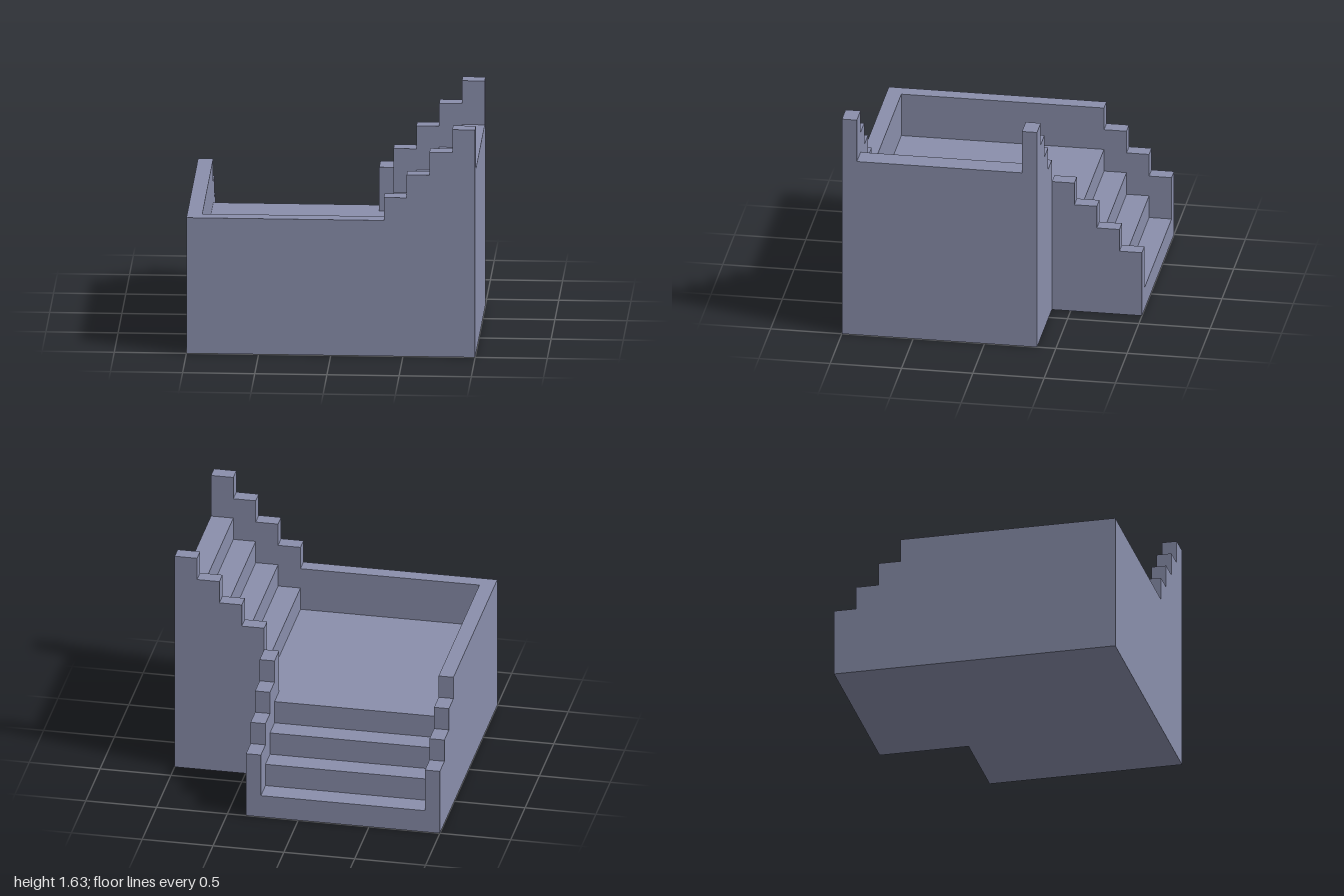
import * as THREE from 'three';

const RISE = 0.1648;          // height of one step
const RUN = 0.158;            // depth of one step
const RAIL = 0.315;           // parapet height above the treads
const WALL = 0.105;           // parapet thickness
const TURN = 0.368;           // where each flight meets the landing
const STEPS = 4;
const LANDING = STEPS * RISE;

// Closed outline of four rising steps, standing on the ground.
// flatBefore / flatAfter add a level stretch ending at that coordinate.
function stairShape(start, base, { flatBefore, flatAfter } = {}) {
  const pts = [];
  const first = flatBefore ?? start;
  pts.push([first, 0]);
  if (flatBefore !== undefined) pts.push([first, base], [start, base]);
  for (let i = 0; i < STEPS; i++) {
    const y = base + (i + 1) * RISE;
    pts.push([start + i * RUN, y], [start + (i + 1) * RUN, y]);
  }
  if (flatAfter !== undefined) pts[pts.length - 1][0] = flatAfter;
  pts.push([pts[pts.length - 1][0], 0]);
  return new THREE.Shape(pts.map(([x, y]) => new THREE.Vector2(x, y)));
}

export function createModel() {
  const group = new THREE.Group();
  const stone = new THREE.MeshStandardMaterial({ color: 0x8a8fac });
  stone.name = 'blue grey stone';

  const add = (name, geometry) => {
    const mesh = new THREE.Mesh(geometry, stone);
    mesh.name = name;
    group.add(mesh);
  };
  const extrude = (shape, depth) =>
    new THREE.ExtrudeGeometry(shape, { depth, bevelEnabled: false });
  // Outline runs along x, thickness spans z0..z1
  const alongX = (name, shape, z0, z1) =>
    add(name, extrude(shape, z1 - z0).translate(0, 0, z0));
  // Outline runs along z, thickness spans x0..x1
  const alongZ = (name, shape, x0, x1) =>
    add(name, extrude(shape, x1 - x0).rotateY(-Math.PI / 2).translate(x1, 0, 0));

  const inner = 1 - WALL;

  // Lower flight climbs from the back towards the landing
  alongZ('lowerSteps', stairShape(-1, 0), -inner, TURN - WALL);
  alongZ('lowerInnerParapet', stairShape(-1, RAIL), TURN - WALL, TURN);
  alongZ('sideParapet', stairShape(-1, RAIL, { flatAfter: inner }), -1, -inner);

  // Square landing at the turn
  const w = TURN + inner;
  add('landing', new THREE.BoxGeometry(w, LANDING, w)
    .translate((TURN - inner) / 2, LANDING / 2, (inner - TURN) / 2));

  // Upper flight climbs towards +x
  alongX('upperSteps', stairShape(TURN, LANDING), -TURN + WALL, inner);
  alongX('upperInnerParapet', stairShape(TURN, LANDING + RAIL), -TURN, -TURN + WALL);
  alongX('frontParapet', stairShape(TURN, LANDING + RAIL, { flatBefore: -1 }), inner, 1);

  return group;
}
